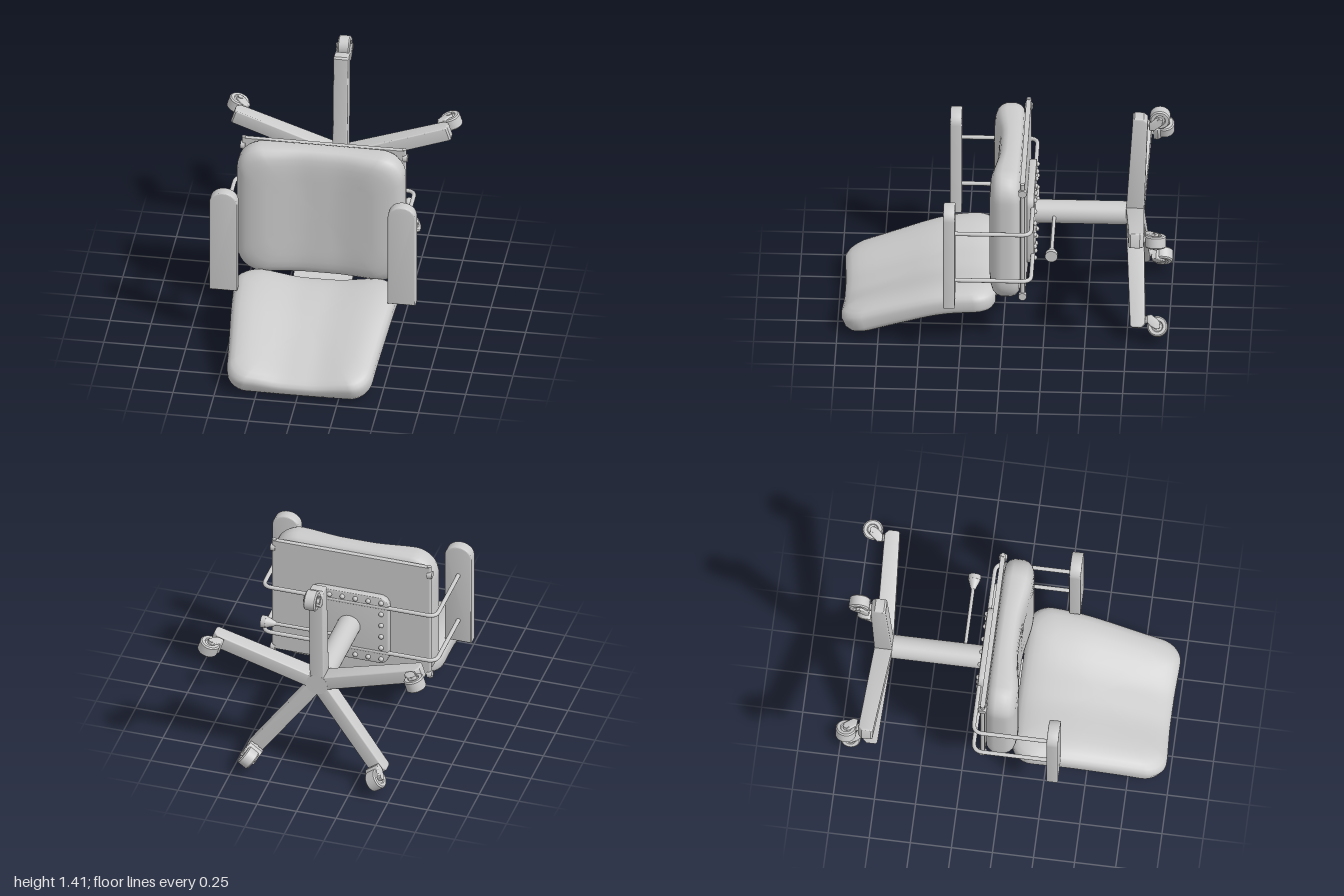
import * as THREE from 'three';
import { toCreasedNormals } from 'three/addons/utils/BufferGeometryUtils.js';

const CY = 0.66; // height of the column axis
const mat = new THREE.MeshStandardMaterial({ color: 0xcccccc });
const softMat = new THREE.MeshStandardMaterial({ color: 0xcccccc });

function add(parent, name, geo, x = 0, y = 0, z = 0, material = mat) {
  const m = new THREE.Mesh(geo, material);
  m.name = name;
  m.position.set(x, y, z);
  parent.add(m);
  return m;
}

const cylX = (r1, r2, len, n = 24) => new THREE.CylinderGeometry(r1, r2, len, n).rotateZ(-Math.PI / 2);
const cylZ = (r1, r2, len, n = 32) => new THREE.CylinderGeometry(r1, r2, len, n).rotateX(Math.PI / 2);

// Polygon extruded symmetrically about its plane
function slab(points, depth, bevel = 0) {
  const shape = new THREE.Shape(points.map(([a, b]) => new THREE.Vector2(a, b)));
  const geo = new THREE.ExtrudeGeometry(shape, {
    depth: depth - 2 * bevel, bevelEnabled: bevel > 0, bevelThickness: bevel,
    bevelSize: bevel, bevelOffset: -bevel, bevelSegments: 3, curveSegments: 16,
  });
  return toCreasedNormals(geo.translate(0, 0, bevel - depth / 2), 0.6);
}

function roundedOutline(hw, hh, r, arcSteps = 8, edgeSteps = 12) {
  const pts = [];
  const corners = [[1, 1], [-1, 1], [-1, -1], [1, -1]];
  corners.forEach(([sx, sy], k) => {
    for (let i = 0; i <= arcSteps; i++) {
      const a = (k + i / arcSteps) * Math.PI / 2;
      pts.push([sx * (hw - r) + r * Math.cos(a), sy * (hh - r) + r * Math.sin(a)]);
    }
    const [ax, ay] = pts[pts.length - 1];
    const [nx, ny] = corners[(k + 1) % 4];
    const b = (k + 1) * Math.PI / 2;
    const bx = nx * (hw - r) + r * Math.cos(b), by = ny * (hh - r) + r * Math.sin(b);
    for (let i = 1; i < edgeSteps; i++) pts.push([ax + (bx - ax) * i / edgeSteps, ay + (by - ay) * i / edgeSteps]);
  });
  return pts;
}

// Padded slab: rings of [inset, level] from under-centre to top-centre;
// place(a, b, level) puts every ring point in space
function cushion(hw, hh, r, place) {
  const outline = roundedOutline(hw, hh, r), n = outline.length;
  const m = Math.min(hw, hh);
  const rings = [[m, 0], [m * 0.5, 0], [0.06, 0], [0.03, 0.04], [0.01, 0.14], [0, 0.3], [0, 0.6],
    [0.01, 0.76], [0.03, 0.88], [0.06, 0.95], [0.1, 0.985], [0.15, 1],
    [m * 0.45, 1], [m * 0.6, 1], [m * 0.75, 1], [m * 0.88, 1], [m, 1]];
  const pos = [], idx = [];
  rings.forEach(([inset, level]) => outline.forEach(([a, b]) => {
    const s = 1 - inset / m, t = inset > 0.2 ? s : 1 - inset / hh;
    pos.push(...place(a * (inset > 0.2 ? s : 1 - inset / hw), b * t, level));
  }));
  for (let i = 0; i < rings.length - 1; i++) for (let j = 0; j < n; j++) {
    const k = (j + 1) % n, a = i * n + j, b = i * n + k;
    idx.push(a, b, b + n, a, b + n, a + n);
  }
  const geo = new THREE.BufferGeometry();
  geo.setAttribute('position', new THREE.Float32BufferAttribute(pos, 3));
  geo.setIndex(idx);
  geo.computeVertexNormals();
  return geo;
}

// Shallow hollow across the middle of a cushion
const dish = (x) => 0.04 * (1 - THREE.MathUtils.smoothstep(Math.abs(x), 0.08, 0.38));

function buildCushions(g) {
  add(g, 'seatCushion', cushion(0.512, 0.437, 0.15,
    (a, b, t) => [a, b + 0.737, -0.11 + t * (0.19 - dish(a))]), 0, 0, 0, softMat);

  const spine = new THREE.SplineCurve([[0.04, 0.285], [0.2, 0.287], [0.4, 0.258], [0.65, 0.177], [0.9, 0.09], [0.97, 0.067]]
    .map(([z, y]) => new THREE.Vector2(z, y)));
  const hl = 0.465;
  add(g, 'backrestCushion', cushion(0.5, hl, 0.13, (a, b, t) => {
    const v = (hl - b) / (2 * hl); // 0 at the seat, 1 at the far end
    const p = spine.getPointAt(THREE.MathUtils.clamp(v, 0, 1));
    const x = a * (1 - 0.13 * THREE.MathUtils.smoothstep(v, 0.05, 1.1));
    const h = (t - 0.5) * 0.15 - t * dish(a);
    return [x, p.y + h, p.x + h * 0.42 * v];
  }), 0, 0, 0, softMat);
}

function buildSupports(g) {
  // Panel under the seat, with edge rods and corner knobs
  add(g, 'seatPanel', new THREE.BoxGeometry(0.98, 0.79, 0.03), 0, 0.755, -0.125);
  for (const s of [-1, 1]) {
    add(g, 'panelEdgeRod', new THREE.CylinderGeometry(0.013, 0.013, 0.8, 12), s * 0.49, 0.755, -0.125);
    for (const y of [0.365, 1.095]) add(g, 'cornerKnob', cylX(0.025, 0.025, 0.03, 16), s * 0.495, y, -0.125);
  }

  // Mounting plate with a border of bolts
  add(g, 'mountingPlate', slab(roundedOutline(0.25, 0.24, 0.06, 5, 1), 0.045, 0.006), 0, CY, -0.1625);
  const bolt = new THREE.SphereGeometry(0.016, 12, 8);
  for (let i = 0; i < 6; i++) for (const s of [-1, 1]) {
    const d = -0.205 + i * 0.082;
    add(g, 'bolt', bolt, d, CY + s * 0.205, -0.187);
    if (i > 0 && i < 5) add(g, 'bolt', bolt, s * 0.205, CY + d, -0.187);
  }

  // Bent strip carrying the backrest
  const curve = new THREE.SplineCurve([[-0.13, 0.4], [-0.13, 0.29], [-0.115, 0.24], [-0.07, 0.217], [0.05, 0.203],
    [0.3, 0.172], [0.5, 0.125], [0.75, 0.05]].map(([z, y]) => new THREE.Vector2(z, y)));
  const upper = [], lower = [];
  for (let i = 0; i <= 40; i++) {
    const p = curve.getPointAt(i / 40), t = curve.getTangentAt(i / 40);
    upper.push([p.x - t.y * 0.01, p.y + t.x * 0.01]);
    lower.unshift([p.x + t.y * 0.01, p.y - t.x * 0.01]);
  }
  add(g, 'backrestStrip', slab([...upper, ...lower], 0.36).rotateY(-Math.PI / 2));

  // Adjusting knob under the backrest
  const knob = [[0, 0], [0.072, 0], [0.075, 0.005], [0.075, 0.016], [0.068, 0.022], [0.035, 0.045],
    [0.027, 0.055], [0.027, 0.075], [0.012, 0.08], [0.012, 0.13]].map(([r, y]) => new THREE.Vector2(r, y));
  add(g, 'backrestKnob', toCreasedNormals(new THREE.LatheGeometry(knob, 32), 0.6), 0, 0, 0.635);
}

function buildArms(g) {
  // One bent bar runs behind the seat and carries both armrests
  const X = 0.548, Z = -0.177, R = 0.06, V = (x, z) => new THREE.Vector3(x, 0, z);
  const path = new THREE.CurvePath();
  path.add(new THREE.LineCurve3(V(X, 0.29), V(X, Z + R)));
  path.add(new THREE.QuadraticBezierCurve3(V(X, Z + R), V(X, Z), V(X - R, Z)));
  path.add(new THREE.LineCurve3(V(X - R, Z), V(R - X, Z)));
  path.add(new THREE.QuadraticBezierCurve3(V(R - X, Z), V(-X, Z), V(-X, Z + R)));
  path.add(new THREE.LineCurve3(V(-X, Z + R), V(-X, 0.29)));
  for (const y of [0.5, 0.83]) add(g, 'armBar', new THREE.TubeGeometry(path, 160, 0.013, 12), 0, y, 0);

  const pad = [[-0.085, 0.345], [0.085, 0.345]];
  for (let i = 0; i <= 16; i++) {
    const a = Math.PI * i / 16;
    pad.push([0.085 * Math.cos(a), 0.96 + 0.075 * Math.sin(a)]);
  }
  for (const s of [-1, 1]) add(g, 'armrest', slab(pad, 0.07, 0.008), s * 0.545, 0, 0.315);
}

function buildBase(g) {
  add(g, 'column', cylZ(0.072, 0.072, 0.58), 0, CY, -0.46);
  add(g, 'hub', cylZ(0.068, 0.068, 0.11), 0, CY, -0.788);
  add(g, 'lever', cylX(0.011, 0.011, 0.38, 12), 0.26, CY, -0.3);
  add(g, 'leverGrip', cylX(0.036, 0.014, 0.06), 0.455, CY, -0.3);
  add(g, 'leverCap', cylX(0.038, 0.038, 0.03), 0.5, CY, -0.3);

  // Profiles in radius and depth, extruded across the leg
  const flat = (pts, width, bevel) => slab(pts, width, bevel).rotateX(Math.PI / 2);
  const legGeo = flat([[0, -0.84], [0.63, -0.863], [0.67, -0.863], [0.695, -0.84], [0.695, -0.785],
    [0.685, -0.773], [0, -0.73]], 0.09, 0.008);
  const forkGeo = flat([[0.615, -0.9], [0.635, -0.925], [0.66, -0.955], [0.695, -0.95], [0.705, -0.93],
    [0.685, -0.895], [0.66, -0.873], [0.62, -0.873]], 0.095, 0.006);
  const tread = [[0, -0.03], [0.03, -0.03], [0.035, -0.038], [0.054, -0.038], [0.062, -0.03], [0.062, 0.03],
    [0.054, 0.038], [0.035, 0.038], [0.03, 0.03], [0, 0.03]].map(([r, y]) => new THREE.Vector2(r, y));
  const wheelGeo = toCreasedNormals(new THREE.LatheGeometry(tread, 32), 0.6);
  for (let i = 0; i < 5; i++) {
    const leg = new THREE.Group();
    leg.name = 'baseLeg';
    leg.position.y = CY;
    leg.rotation.z = Math.PI / 2 + i * Math.PI * 2 / 5;
    add(leg, 'legBeam', legGeo);
    add(leg, 'casterStem', cylZ(0.022, 0.022, 0.05, 16), 0.645, 0, -0.87);
    add(leg, 'casterFork', forkGeo);
    add(leg, 'casterWheel', wheelGeo, 0.685, 0, -0.937);
    add(leg, 'casterAxle', new THREE.CylinderGeometry(0.017, 0.017, 0.103, 16), 0.685, 0, -0.937);
    g.add(leg);
  }
}

export function createModel() {
  const g = new THREE.Group();
  g.name = 'officeChair';
  softMat.side = THREE.DoubleSide;
  buildCushions(g);
  buildSupports(g);
  buildArms(g);
  buildBase(g);
  return g;
}
